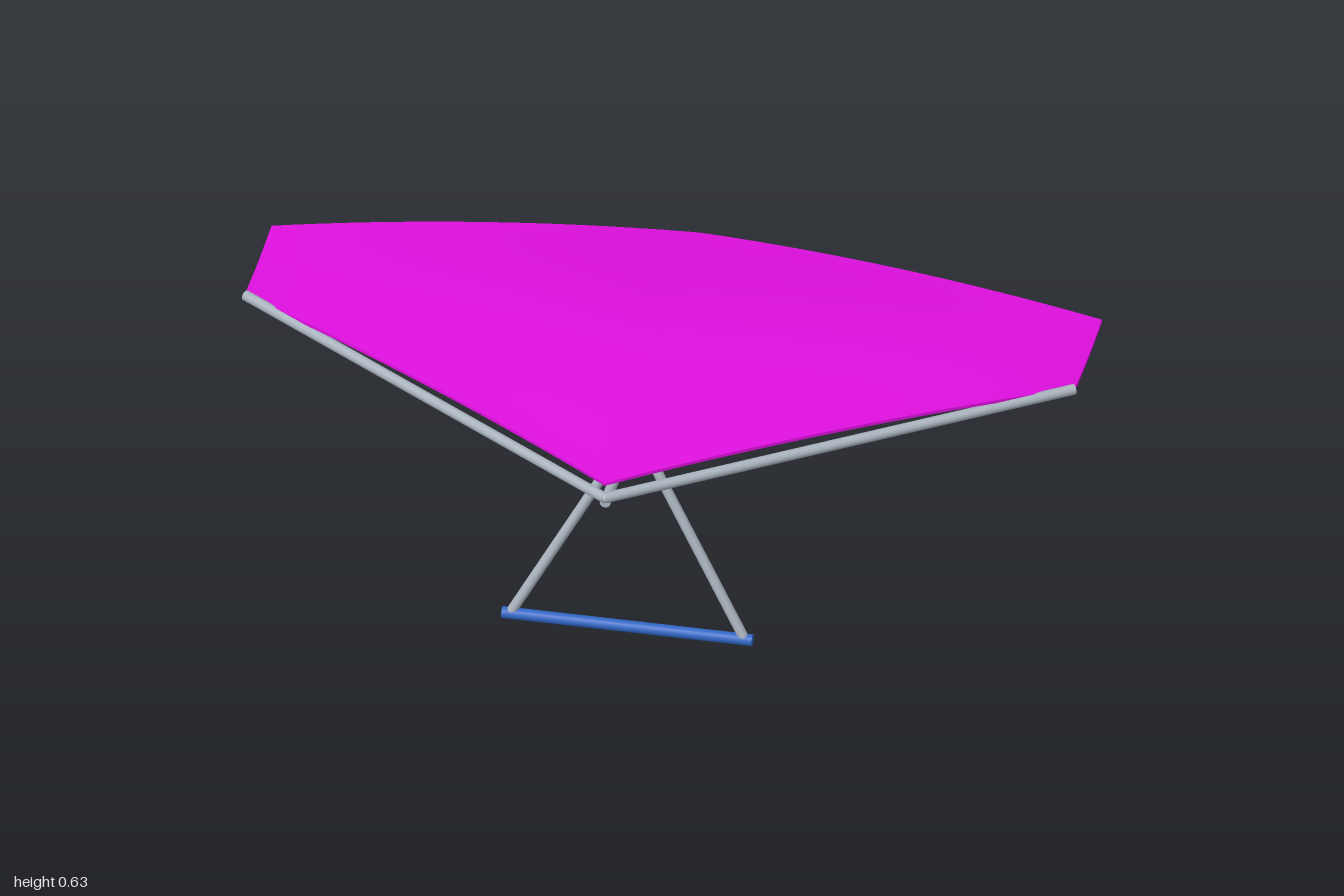
import * as THREE from 'three';

const metal = new THREE.MeshStandardMaterial({ color: 0xa9b3bd });
metal.name = 'tubeGrey';
const blue = new THREE.MeshStandardMaterial({ color: 0x2f66c4 });
blue.name = 'gripBlue';
const magenta = new THREE.MeshStandardMaterial({ color: 0xe010e0 });
magenta.name = 'sailMagenta';

// Straight round tube between two points
function tube(name, from, to, radius, material) {
  const a = new THREE.Vector3(...from);
  const b = new THREE.Vector3(...to);
  const dir = b.clone().sub(a);
  const mesh = new THREE.Mesh(new THREE.CylinderGeometry(radius, radius, dir.length(), 16), material);
  mesh.position.copy(a).add(b).multiplyScalar(0.5);
  mesh.quaternion.setFromUnitVectors(new THREE.Vector3(0, 1, 0), dir.normalize());
  mesh.name = name;
  return mesh;
}

// Height of the sail: u runs from centre to tip, v from leading to trailing edge
function sailHeight(u, v) {
  const arch = 4 * u * (1 - u);
  const lead = 0.583 - 0.016 * u + 0.018 * arch;
  const trail = 0.572 - 0.013 * u + 0.02 * arch;
  const camber = 0.05 * (1 - 1.1 * u) * Math.pow(Math.max(0, Math.sin(Math.PI * v)), 1.15);
  return THREE.MathUtils.lerp(lead, trail, v) + camber;
}

// Thin cambered sail, shaped from a subdivided slab
function makeSail() {
  const geo = new THREE.BoxGeometry(2, 1, 1, 40, 1, 24);
  const p = geo.attributes.position;
  for (let i = 0; i < p.count; i++) {
    const u = Math.abs(p.getX(i));
    const v = 0.5 - p.getZ(i);
    const zLead = 0.55 - 0.645 * u;
    const zTrail = -0.56 + 0.155 * u;
    p.setXYZ(
      i,
      p.getX(i) * 0.995,
      sailHeight(u, v) + p.getY(i) * 0.008,
      THREE.MathUtils.lerp(zLead, zTrail, v)
    );
  }
  geo.computeVertexNormals();
  const mesh = new THREE.Mesh(geo, magenta);
  mesh.name = 'sail';
  return mesh;
}

export function createModel() {
  const group = new THREE.Group();
  group.name = 'hangGlider';

  group.add(makeSail());

  // Keel under the sail
  group.add(tube('keel', [0, 0.528, 0.545], [0, 0.496, -0.53], 0.013, metal));

  // Mirrored leading edge tubes and control frame uprights
  for (const [side, s] of [['left', 1], ['right', -1]]) {
    group.add(tube(side + 'LeadingEdgeTube', [0, 0.543, 0.547], [s * 0.993, 0.567, -0.095], 0.013, metal));
    group.add(tube(side + 'Upright', [0, 0.513, 0.198], [s * 0.28, 0.017, 0.285], 0.0125, metal));
  }

  // Nose joint where the tubes meet
  const joint = new THREE.Mesh(new THREE.SphereGeometry(0.013, 16, 10), metal);
  joint.position.set(0, 0.543, 0.545);
  joint.name = 'noseJoint';
  group.add(joint);

  // Base bar the pilot holds
  group.add(tube('baseBar', [-0.3, 0.0145, 0.285], [0.3, 0.0145, 0.285], 0.0145, blue));

  return group;
}
